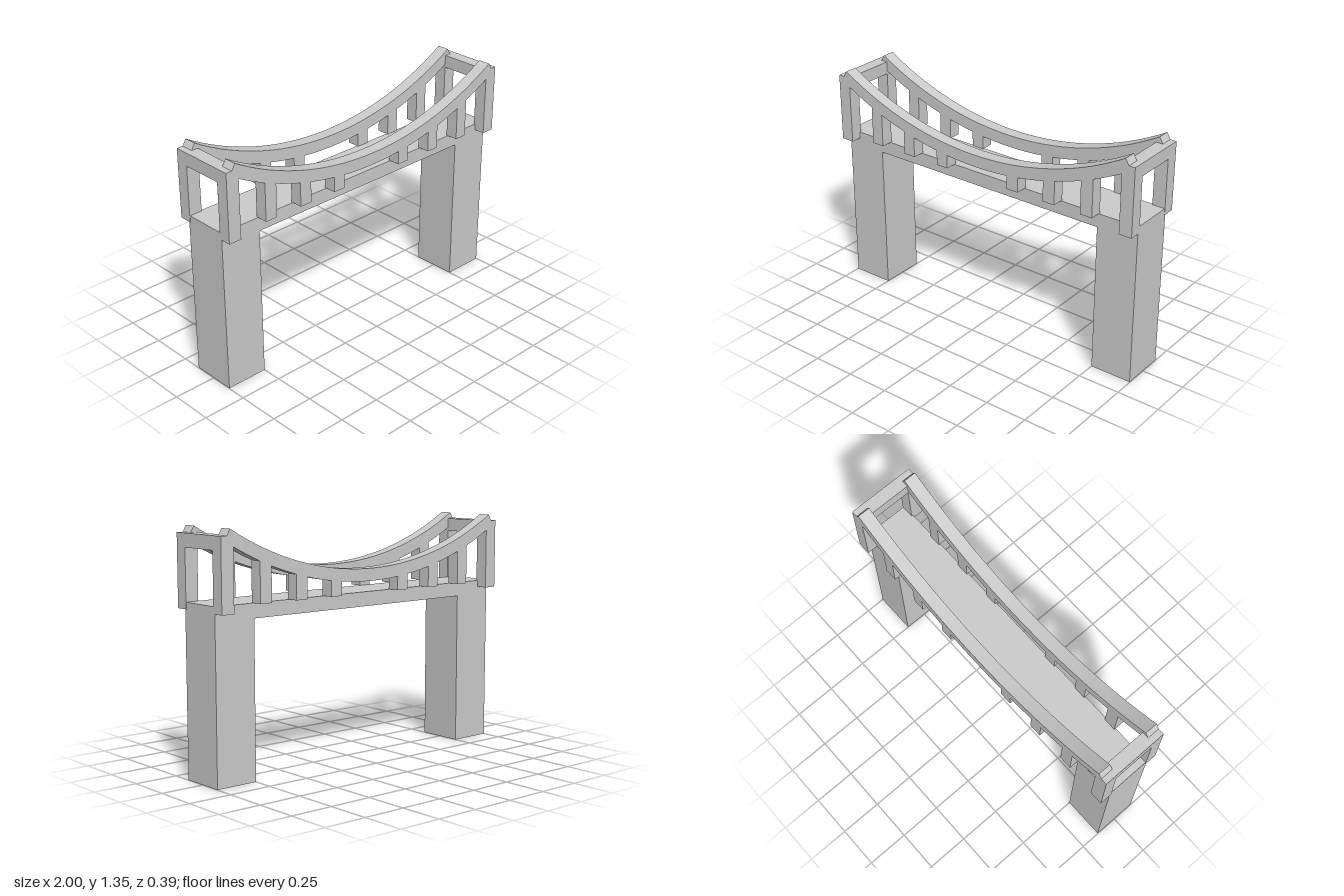
import * as THREE from 'three';
import { toCreasedNormals } from 'three/addons/utils/BufferGeometryUtils.js';

export function createModel() {
  const bridge = new THREE.Group();
  bridge.name = 'bridge';
  const material = new THREE.MeshStandardMaterial({ color: 0xcccccc });

  const add = (name, geometry) => {
    const mesh = new THREE.Mesh(geometry, material);
    mesh.name = name;
    bridge.add(mesh);
    return mesh;
  };
  // Box given by its lower and upper bounds on each axis
  const box = (name, [x0, x1], [y0, y1], [z0, z1]) =>
    add(name, new THREE.BoxGeometry(x1 - x0, y1 - y0, z1 - z0))
      .position.set((x0 + x1) / 2, (y0 + y1) / 2, (z0 + z1) / 2);

  const deckTop = 0.953, deckHalfDepth = 0.133;
  const railInner = 0.123, railOuter = 0.197;
  const sideName = { '1': 'Left', '-1': 'Right' };
  const span = (s, a, b) => (s > 0 ? [a, b] : [-b, -a]);

  // Road deck between the two piers
  box('deck', [-0.75, 0.75], [0.872, deckTop], [-deckHalfDepth, deckHalfDepth]);

  // Piers with a portal frame on each
  for (const sx of [1, -1]) {
    box('pier' + sideName[sx], span(sx, 0.75, 0.998), [0, deckTop], [-deckHalfDepth, deckHalfDepth]);
    const frameX = span(sx, 0.923, 1);
    for (const sz of [1, -1]) {
      box('towerPost', frameX, [0.915, 1.313], span(sz, railInner, railOuter));
    }
    box('towerCrossBeam', frameX, [1.238, 1.313], [-railInner, railInner]);
  }

  // Sagging cable: a ring sector cut square at both ends
  const centreY = 2.938, outerR = 1.918, innerR = 1.848, halfAngle = 0.535;
  const down = -Math.PI / 2;
  const profile = new THREE.Shape();
  profile.absarc(0, centreY, outerR, down - halfAngle, down + halfAngle, false);
  profile.absarc(0, centreY, innerR, down + halfAngle, down - halfAngle, true);
  const cableGeometry = toCreasedNormals(new THREE.ExtrudeGeometry(profile, {
    depth: railOuter - railInner, bevelEnabled: false, curveSegments: 48,
  }), 0.4);

  // Cable and its hangers on each side of the deck
  const midR = (outerR + innerR) / 2;
  for (const sz of [1, -1]) {
    const railZ = span(sz, railInner, railOuter);
    add(sz > 0 ? 'frontCable' : 'backCable', cableGeometry).position.z = railZ[0];
    for (const x of [-0.72, -0.482, -0.243, 0.243, 0.482, 0.72]) {
      const top = centreY - Math.sqrt(midR * midR - x * x);
      box('hanger', [x - 0.037, x + 0.037], [deckTop, top], railZ);
    }
  }
  return bridge;
}
